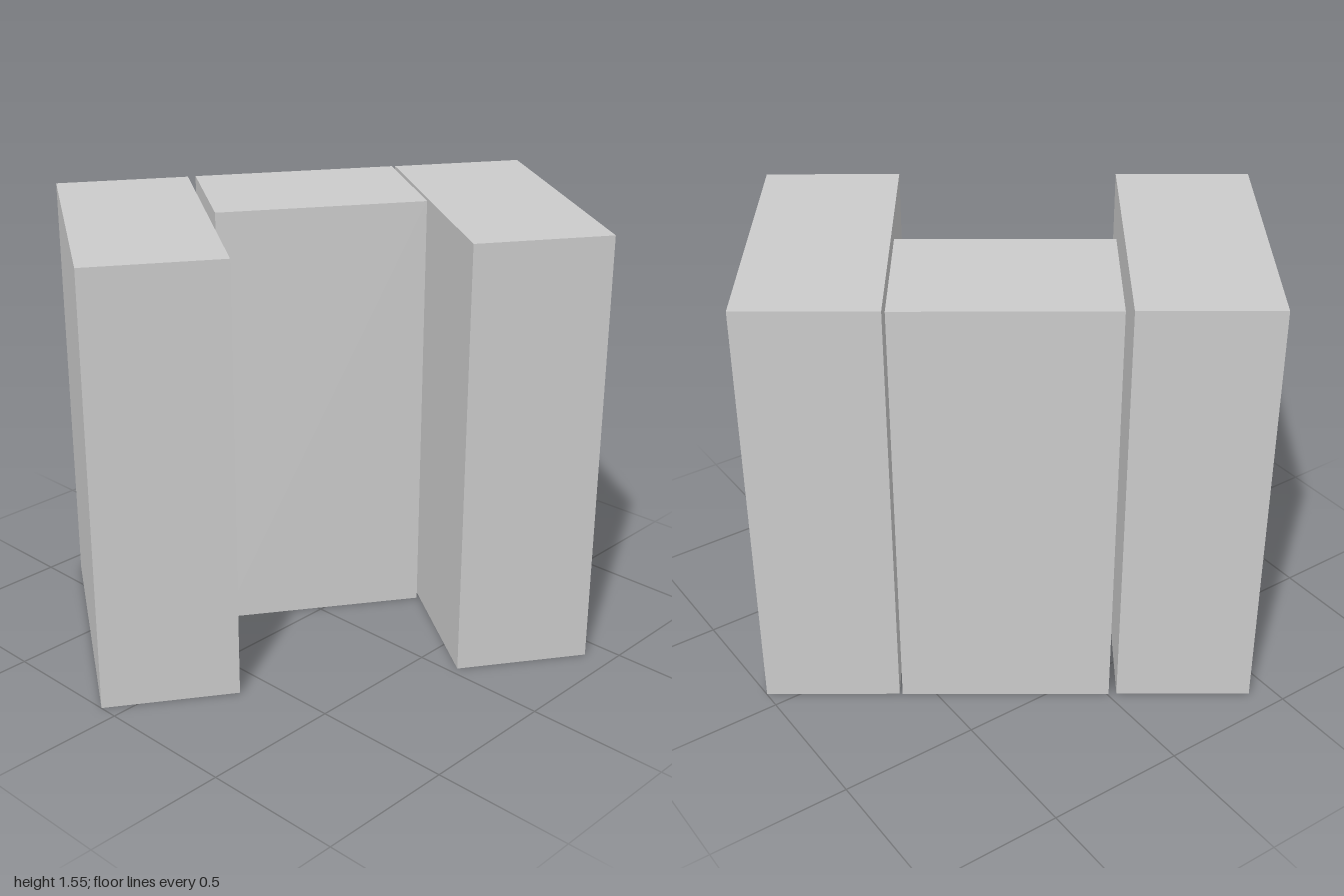
import * as THREE from 'three';

export function createModel() {
  const group = new THREE.Group();
  group.name = 'blockBuilding';
  const material = new THREE.MeshStandardMaterial({ color: 0xcccccc });
  const height = 1.555;

  // Upright block standing on the ground
  function addBlock(name, width, depth, x, z) {
    const mesh = new THREE.Mesh(new THREE.BoxGeometry(width, height, depth), material);
    mesh.name = name;
    mesh.position.set(x, height / 2, z);
    plan.add(mesh);
  }

  // The whole C-shaped plan is turned about the vertical axis
  const plan = new THREE.Group();
  plan.name = 'turnedPlan';
  plan.rotation.y = -0.603;
  group.add(plan);

  // Two long wings, with a shorter block set between their ends
  addBlock('backWing', 1.02, 0.474, 0, -0.624);
  addBlock('frontWing', 1.02, 0.474, 0, 0.625);
  addBlock('middleBlock', 0.5, 0.736, -0.262, -0.008);

  return group;
}
